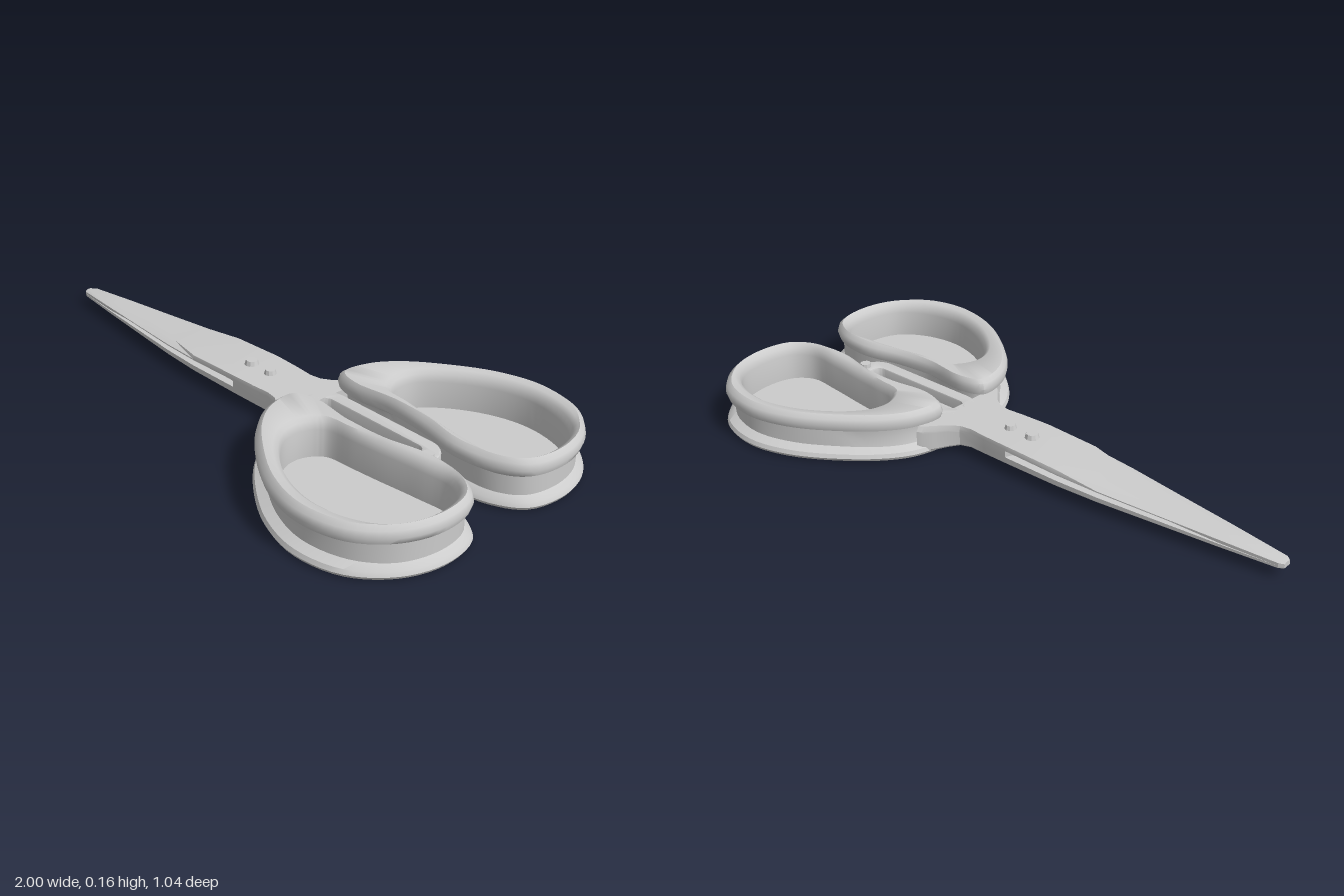
import * as THREE from 'three';
import { toCreasedNormals } from 'three/addons/utils/BufferGeometryUtils.js';

const material = new THREE.MeshStandardMaterial({ color: 0xcccccc });

function addMesh(parent, name, geometry) {
  const mesh = new THREE.Mesh(geometry, material);
  mesh.name = name;
  parent.add(mesh);
  return mesh;
}

// Skin a list of equal-length closed rings, closing both ends with fans.
function loft(rings, crease = 0.6) {
  const n = rings[0].length;
  const points = rings.flat();
  const faces = [];
  for (let r = 0; r < rings.length - 1; r++) {
    for (let i = 0; i < n; i++) {
      const a = r * n + i, b = r * n + (i + 1) % n;
      faces.push([a, b, b + n], [a, b + n, a + n]);
    }
  }
  [0, rings.length - 1].forEach((r) => {
    const centre = points.length;
    const mid = new THREE.Vector3();
    rings[r].forEach((p) => mid.addScaledVector(p, 1 / n));
    points.push(mid);
    for (let i = 0; i < n; i++) {
      const a = r * n + i, b = r * n + (i + 1) % n;
      faces.push(r === 0 ? [centre, b, a] : [centre, a, b]);
    }
  });
  // Turn the faces outward if the solid came out inverted.
  const cross = new THREE.Vector3();
  const volume = faces.reduce((v, [a, b, c]) =>
    v + points[a].dot(cross.crossVectors(points[b], points[c])), 0);
  const index = faces.flatMap(([a, b, c]) => (volume < 0 ? [a, c, b] : [a, b, c]));
  const geometry = new THREE.BufferGeometry().setFromPoints(points);
  geometry.setIndex(index);
  return toCreasedNormals(geometry, crease);
}

// Outer and inner outlines of a handle bowl, as matching [x, z] points.
const OUTER = [[0.225, 0.1], [0.235, 0.2], [0.29, 0.29], [0.4, 0.39], [0.55, 0.48], [0.7, 0.515],
  [0.85, 0.48], [0.95, 0.38], [0.99, 0.25], [0.965, 0.12], [0.88, 0.06], [0.75, 0.04],
  [0.6, 0.07], [0.45, 0.085], [0.3, 0.07]];
const INNER = [[0.4, 0.16], [0.38, 0.21], [0.39, 0.27], [0.45, 0.34], [0.57, 0.415], [0.7, 0.445],
  [0.83, 0.42], [0.915, 0.355], [0.945, 0.24], [0.925, 0.14], [0.865, 0.095], [0.75, 0.1],
  [0.62, 0.115], [0.52, 0.125], [0.43, 0.135]];

// Wall profile: which outline, distance into the wall, height.
const WALL = [
  ['in', 0.0, 0.014], ['in', 0.006, 0.004], ['out', 0.015, 0.0], ['out', 0.0, 0.004],
  ['out', -0.006, 0.014], ['out', 0.0, 0.027], ['out', 0.03, 0.04], ['out', 0.036, 0.07],
  ['out', 0.032, 0.1], ['out', 0.006, 0.109], ['out', 0.0, 0.128], ['out', 0.006, 0.148],
  ['out', 0.022, 0.16], ['in', 0.022, 0.157], ['in', 0.007, 0.145], ['in', 0.0, 0.12],
  ['in', 0.0, 0.03],
];

function handleGeometry(side) {
  const curve = (list) => new THREE.CatmullRomCurve3(
    list.map(([x, z]) => new THREE.Vector3(x, 0, z * side)), true).getPoints(75).slice(0, -1);
  const outer = curve(OUTER), inner = curve(INNER);
  const rings = WALL.map(([from, depth, y]) => outer.map((o, i) => {
    const across = inner[i].clone().sub(o);
    const width = across.length();
    const d = Math.min(depth, width * 0.45);
    across.normalize();
    const p = from === 'out' ? o.clone().addScaledVector(across, d)
      : inner[i].clone().addScaledVector(across, -d);
    return p.setY(y);
  }));
  return loft(rings, 0.7);
}

// Blade stations: x, half width, top width share, top y, bottom y, notch depth.
const BLADES = [
  [-1.0, 0.014, 0.5, 0.053, 0.036, 0], [-0.985, 0.024, 0.4, 0.056, 0.035, 0],
  [-0.8, 0.046, 0.35, 0.066, 0.035, 0.004], [-0.6, 0.068, 0.5, 0.075, 0.036, 0.02],
  [-0.4, 0.09, 0.7, 0.085, 0.037, 0.03], [-0.25, 0.1, 0.96, 0.093, 0.038, 0.035],
  [-0.06, 0.1, 0.98, 0.1, 0.038, 0.035], [-0.045, 0.1, 0.98, 0.1, 0.038, 0],
  [0.05, 0.096, 0.98, 0.1, 0.036, 0], [0.11, 0.092, 0.97, 0.1, 0.034, 0],
  [0.15, 0.1, 0.96, 0.1, 0.03, 0], [0.18, 0.122, 0.95, 0.1, 0.022, 0],
  [0.21, 0.155, 0.95, 0.1, 0.014, 0], [0.235, 0.185, 0.95, 0.1, 0.012, 0],
  [0.25, 0.195, 0.95, 0.1, 0.012, 0],
];

function bladeGeometry() {
  const rings = BLADES.map(([x, w, flat, top, bottom, notch]) => {
    const at = (t) => bottom + (top - bottom) * t;
    const half = [[w * flat, at(1)], [w, at(0.8)], [w, at(0.72)], [w - notch, at(0.7)],
      [w - notch, at(0.38)], [w, at(0.36)], [w, at(0.06)], [w * 0.97, at(0)]];
    const mirror = half.map(([z, y]) => [-z, y]).reverse();
    return [...half, ...mirror].map(([z, y]) => new THREE.Vector3(x, y, z));
  });
  return loft(rings, 0.4);
}

// Flat rounded outline in x and z, from x0 to x1.
function slot(Type, x0, x1, r) {
  const path = new Type();
  path.absarc(x1 - r, 0, r, -Math.PI / 2, Math.PI / 2);
  path.absarc(x0 + r, 0, r, Math.PI / 2, Math.PI * 1.5);
  path.closePath();
  return path;
}

function plate(shape, y0, y1, bevel = 0.006) {
  const geometry = new THREE.ExtrudeGeometry(shape, {
    depth: y1 - y0 - 2 * bevel, bevelThickness: bevel, bevelSize: bevel,
    bevelOffset: -bevel, bevelSegments: 2, curveSegments: 10,
  });
  geometry.rotateX(-Math.PI / 2).translate(0, y0 + bevel, 0);
  return toCreasedNormals(geometry, 0.6);
}

export function createModel() {
  const model = new THREE.Group();
  model.name = 'scissors';

  // Pair of closed blades widening into the neck
  addMesh(model, 'blades', bladeGeometry());

  // Bowl-shaped finger handles
  addMesh(model, 'leftHandle', handleGeometry(1));
  addMesh(model, 'rightHandle', handleGeometry(-1));

  // Two pivot screws
  [[-0.07, 0.026], [0.02, 0.022]].forEach(([x, r]) => {
    const screw = toCreasedNormals(new THREE.CylinderGeometry(r * 0.75, r, 0.022, 10), 0.5);
    addMesh(model, 'pivotScrew', screw).position.set(x, 0.104, 0);
  });

  // Raised rim and recessed floor between the handles, with an open gap behind
  const rim = slot(THREE.Shape, 0.2, 0.72, 0.075);
  rim.holes.push(slot(THREE.Path, 0.245, 0.66, 0.03));
  addMesh(model, 'centreRim', plate(rim, 0.02, 0.1));
  addMesh(model, 'centreFloor', new THREE.BoxGeometry(0.2, 0.03, 0.08)).position.set(0.325, 0.045, 0);

  // Small stop joining the handles
  const stop = toCreasedNormals(new THREE.CylinderGeometry(0.018, 0.026, 0.1, 12), 0.5);
  addMesh(model, 'handleStop', stop).position.set(0.695, 0.063, 0);

  return model;
}
